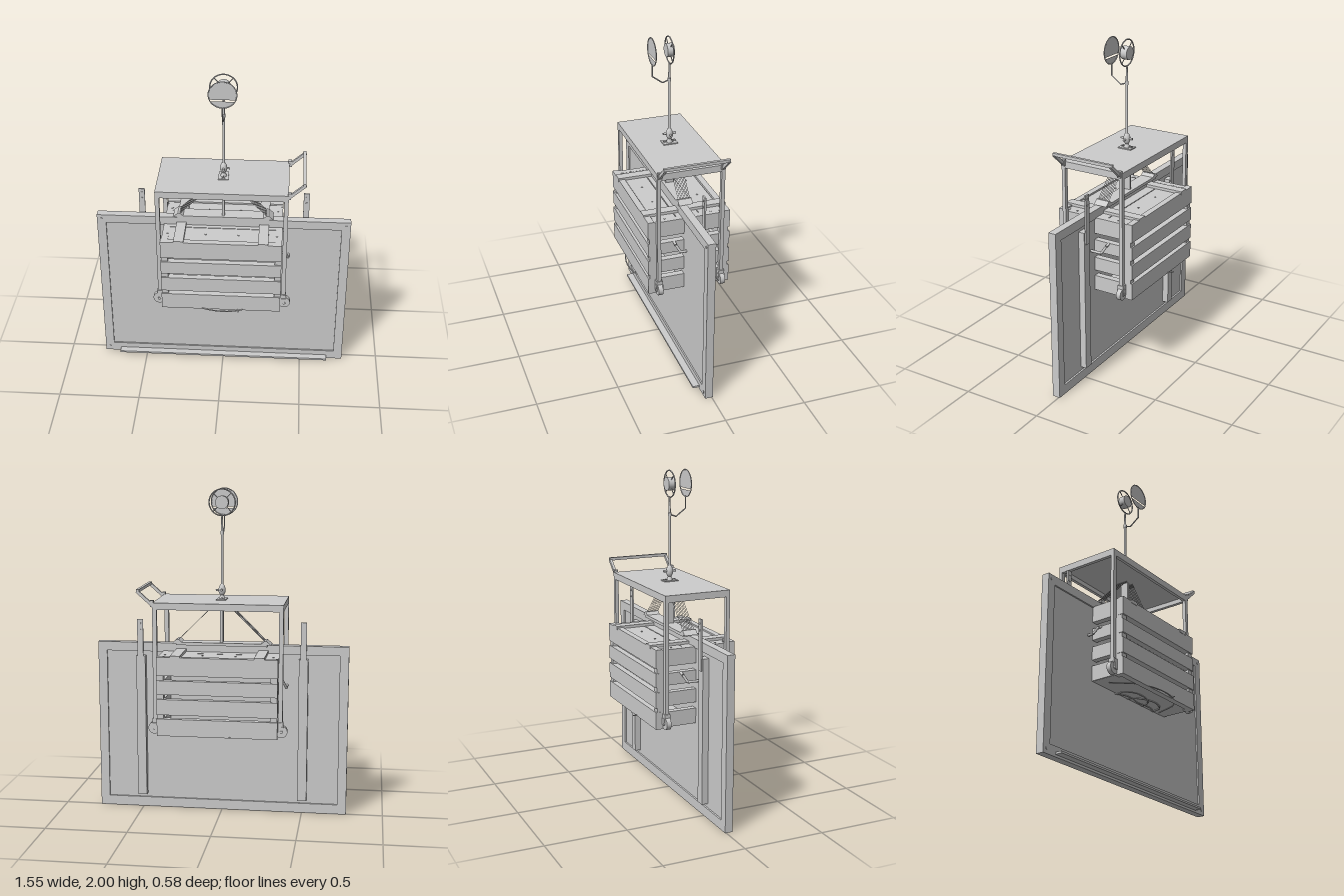
import * as THREE from 'three';

const grey = new THREE.MeshStandardMaterial({ color: 0xcccccc });
grey.name = 'plain grey';
const greySheet = new THREE.MeshStandardMaterial({ color: 0xcccccc, side: THREE.DoubleSide });
greySheet.name = 'plain grey sheet';
const V = (x, y, z) => new THREE.Vector3(x, y, z);

export function createModel() {
  const root = new THREE.Group();
  root.name = 'model';
  const group = (name) => {
    const g = new THREE.Group();
    g.name = name;
    root.add(g);
    return g;
  };
  const add = (parent, name, geo, mat = grey) => {
    const m = new THREE.Mesh(geo, mat);
    m.name = name;
    parent.add(m);
    return m;
  };
  // Box given by its limits on each axis
  const box = (parent, name, x0, x1, y0, y1, z0, z1) => {
    const m = add(parent, name, new THREE.BoxGeometry(x1 - x0, y1 - y0, z1 - z0));
    m.position.set((x0 + x1) / 2, (y0 + y1) / 2, (z0 + z1) / 2);
    return m;
  };
  // Straight round rod between two points
  const rod = (parent, name, a, b, r, r2 = r, sides = 12) => {
    const m = add(parent, name, new THREE.CylinderGeometry(r2, r, a.distanceTo(b), sides));
    m.position.copy(a).add(b).multiplyScalar(0.5);
    m.quaternion.setFromUnitVectors(V(0, 1, 0), b.clone().sub(a).normalize());
    return m;
  };
  // Cord along a smooth path
  const cord = (parent, name, pts, r, seg = 40) =>
    add(parent, name, new THREE.TubeGeometry(new THREE.CatmullRomCurve3(pts), seg, r, 6));

  // Large framed board
  const board = group('board');
  box(board, 'boardPanel', -0.72, 0.72, 0.06, 1.0, 0.004, 0.032);
  box(board, 'frameBottom', -0.775, 0.775, 0, 0.06, -0.007, 0.041);
  box(board, 'frameTop', -0.775, 0.775, 1.0, 1.055, -0.007, 0.041);
  box(board, 'chalkTray', -0.675, 0.675, 0.014, 0.026, 0.041, 0.083);
  for (const s of [-1, 1]) {
    const x = s * 0.7475;
    box(board, 'frameSide', x - 0.0275, x + 0.0275, 0.06, 1.0, -0.007, 0.041);
    for (const y of [0.03, 1.027])
      rod(board, 'cornerScrew', V(s * 0.748, y, 0.03), V(s * 0.748, y, 0.044), 0.008);
    box(board, 'backBatten', s * 0.502 - 0.028, s * 0.502 + 0.028, 0.085, 0.975, -0.035, 0.005);
    box(board, 'hangingStrap', s * 0.502 - 0.018, s * 0.502 + 0.018, 0.9, 1.205, -0.043, -0.033);
    for (const y of [1.14, 1.18])
      rod(board, 'strapScrew', V(s * 0.502, y, -0.046), V(s * 0.502, y, -0.03), 0.006);
  }

  // Slatted crate
  const crate = group('crate');
  const rows = [[0.53, 0.635], [0.66, 0.755], [0.785, 0.87], [0.9, 1.012]];
  for (const [y0, y1] of rows)
    for (const s of [-1, 1]) {
      const z = s * 0.236, x = s * 0.342;
      box(crate, 'longSlat', -0.365, 0.362, y0, y1, z - 0.019, z + 0.019);
      box(crate, 'endSlat', x - 0.02, x + 0.02, y0 + 0.006, y1 - 0.006, -0.217, 0.217);
    }
  for (const sx of [-1, 1])
    for (const sz of [-1, 1]) {
      const x = sx * 0.342, z = sz * 0.22;
      box(crate, 'cornerPost', x - 0.02, x + 0.02, 0.532, 1.008, z - 0.026, z + 0.026);
    }
  box(crate, 'crateFloor', -0.355, 0.355, 0.535, 0.55, -0.22, 0.22);
  for (let i = 0; i < 3; i++) {
    const z = -0.143 + i * 0.143;
    box(crate, 'lidPlank', -0.36, 0.36, 0.985, 1.005, z - 0.069, z + 0.069);
    for (const x of [-0.33, -0.1, 0.1, 0.33])
      rod(crate, 'nail', V(x, 1, z), V(x, 1.009, z), 0.006, 0.006, 8);
  }
  for (const x of [-0.255, 0.25])
    box(crate, 'lidBatten', x - 0.03, x + 0.03, 1.0, 1.022, -0.257, 0.257);
  // Bent carrying handle on each end
  for (const s of [-1, 1]) {
    const p = [V(s * 0.36, 0.86, 0.095), V(s * 0.385, 0.85, 0.092), V(s * 0.402, 0.808, 0.068),
      V(s * 0.402, 0.808, -0.068), V(s * 0.385, 0.85, -0.092), V(s * 0.36, 0.86, -0.095)];
    for (let i = 0; i < 5; i++) rod(crate, 'crateHandle', p[i], p[i + 1], 0.008, 0.008, 8);
  }

  // Loose cord lying under the crate
  const cable = group('cable');
  const loops = [];
  for (let i = 0; i <= 48; i++) {
    const a = i * 0.42, r = 0.1 + 0.05 * Math.sin(i * 0.7);
    loops.push(V(0.05 + Math.cos(a) * r * 1.5, 0.532 + 0.003 * Math.sin(i * 1.3), Math.sin(a) * r));
  }
  cord(cable, 'coiledCord', loops, 0.004, 200);
  cord(cable, 'frontCord', [V(-0.29, 0.535, 0.1), V(-0.18, 0.534, 0.22), V(-0.08, 0.533, 0.265),
    V(0.02, 0.532, 0.277), V(0.11, 0.533, 0.262), V(0.22, 0.535, 0.2), V(0.28, 0.535, 0.05)], 0.004);
  cord(cable, 'cordEnd', [V(0, 0.533, -0.1), V(-0.06, 0.533, -0.2), V(-0.08, 0.535, -0.26), V(-0.09, 0.54, -0.288)], 0.004);
  cord(cable, 'cordTip', [V(0.1, 0.533, 0.255), V(0.11, 0.533, 0.285)], 0.004, 4);

  // Open cart standing over the crate
  const cart = group('cart');
  box(cart, 'tableTop', -0.392, 0.392, 1.318, 1.331, -0.207, 0.207);
  for (const s of [-1, 1]) {
    box(cart, 'longApron', -0.392, 0.392, 1.29, 1.319, s * 0.197 - 0.01, s * 0.197 + 0.01);
    box(cart, 'endApron', s * 0.381 - 0.011, s * 0.381 + 0.011, 1.29, 1.319, -0.19, 0.19);
    for (const t of [-1, 1]) {
      const x = s * 0.379, z = t * 0.196;
      box(cart, 'leg', x - 0.013, x + 0.013, 0.6, 1.3, z - 0.011, z + 0.011);
      // Caster
      box(cart, 'casterFork', x - 0.018, x + 0.018, 0.595, 0.625, z - 0.018, z + 0.018);
      for (const k of [-1, 1])
        box(cart, 'forkPlate', x - 0.012, x + 0.02, 0.56, 0.6, z + k * 0.018 - 0.003, z + k * 0.018 + 0.003);
      rod(cart, 'wheel', V(s * 0.385, 0.568, z - 0.014), V(s * 0.385, 0.568, z + 0.014), 0.037, 0.037, 24);
      rod(cart, 'axle', V(s * 0.385, 0.568, z - 0.023), V(s * 0.385, 0.568, z + 0.023), 0.009);
    }
    // Push handle arm
    const arm = box(cart, 'handleArm', -0.07, 0.07, -0.009, 0.009, -0.008, 0.008);
    arm.position.set(0.435, 1.352, s * 0.192);
    arm.rotation.z = Math.atan2(0.09, 0.1);
    box(cart, 'handleBracket', 0.385, 0.405, 1.305, 1.345, s * 0.192 - 0.012, s * 0.192 + 0.012);
  }
  box(cart, 'handleBar', 0.472, 0.49, 1.391, 1.409, -0.2, 0.2);

  // Strung bridge under the table top
  const bridge = group('stringBridge');
  box(bridge, 'bridgeBase', -0.28, 0.28, 1.05, 1.068, -0.043, 0.043);
  box(bridge, 'bridgePost', -0.008, 0.008, 1.06, 1.32, -0.026, 0.026);
  const wedge = new THREE.Shape([[-0.035, 0], [0.035, 0], [0.006, 0.026], [-0.006, 0.026]]
    .map(([x, y]) => new THREE.Vector2(x, y)));
  for (const s of [-1, 1]) {
    const m = add(bridge, 'endWedge', new THREE.ExtrudeGeometry(wedge, { depth: 0.086, bevelEnabled: false }));
    m.position.set(s * 0.27, 1.06, -0.043);
    for (let i = 0; i < 9; i++) {
      const z = -0.036 + i * 0.009;
      rod(bridge, 'string', V(0, 1.345, z), V(s * 0.265, 1.082, z), 0.0014, 0.0014, 5);
    }
  }

  // Stand with its clamp
  const stand = group('stand');
  box(stand, 'standPlate', -0.03, 0.03, 1.33, 1.337, -0.045, 0.045);
  rod(stand, 'standFoot', V(0, 1.335, 0), V(0, 1.362, 0), 0.02, 0.009);
  const collar = [[0, 1.355], [0.012, 1.36], [0.021, 1.378], [0.021, 1.4], [0.013, 1.42], [0, 1.432]];
  add(stand, 'clampCollar', new THREE.LatheGeometry(collar.map(([x, y]) => new THREE.Vector2(x, y)), 20));
  rod(stand, 'clampScrew', V(-0.01, 1.392, 0), V(0.038, 1.386, 0), 0.006);
  rod(stand, 'clampKnob', V(0, 1.392, -0.04), V(0, 1.392, 0.04), 0.007);
  rod(stand, 'lowerPole', V(0, 1.4, 0), V(0, 1.735, 0), 0.008);
  rod(stand, 'poleJoint', V(0, 1.725, 0), V(0, 1.745, 0), 0.011);
  rod(stand, 'upperPole', V(0, 1.74, 0), V(0, 1.84, 0), 0.0075, 0.005);

  // Drum held by spokes inside a ring
  const head = group('head');
  const cy = 1.916;
  rod(head, 'drum', V(0, cy, -0.021), V(0, cy, 0.021), 0.04, 0.04, 32);
  add(head, 'mountRing', new THREE.TorusGeometry(0.079, 0.004, 8, 48)).position.set(0, cy, 0);
  for (let i = 0; i < 4; i++) {
    const a = Math.PI / 4 + i * Math.PI / 2, c = Math.cos(a), s = Math.sin(a);
    rod(head, 'spoke', V(c * 0.035, cy + s * 0.035, 0), V(c * 0.079, cy + s * 0.079, 0), 0.003, 0.003, 6);
  }

  // Round screen in front, split by a narrow slot
  const screen = group('screen');
  add(screen, 'screenRing', new THREE.TorusGeometry(0.081, 0.003, 8, 48)).position.set(0, cy, 0.105);
  const segment = (name, from, to) => {
    const s = new THREE.Shape();
    s.absarc(0, 0, 0.081, from, to, false);
    s.closePath();
    add(screen, name, new THREE.ShapeGeometry(s, 32), greySheet).position.set(0, cy, 0.105);
  };
  const a1 = Math.asin(0.03 / 0.081), a2 = Math.asin(0.04 / 0.081);
  segment('upperScreen', -a1, Math.PI + a1);
  segment('lowerScreen', Math.PI + a2, 2 * Math.PI - a2);
  const arm = [V(0, 1.84, 0.105), V(0, 1.766, 0.105), V(0, 1.72, 0.042), V(0, 1.735, 0)];
  for (let i = 0; i < 3; i++) rod(screen, 'screenArm', arm[i], arm[i + 1], 0.004, 0.004, 8);

  return root;
}
